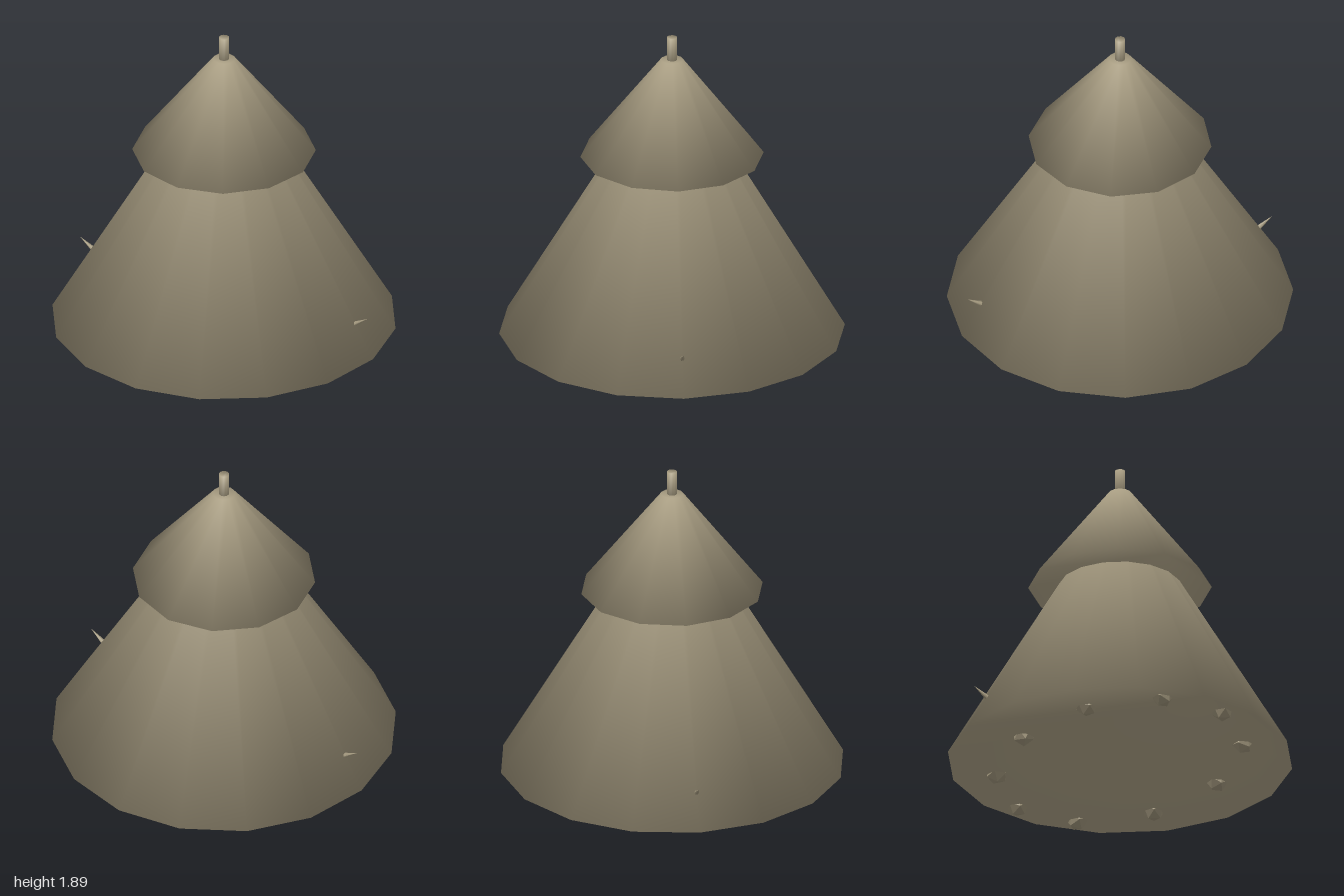
import * as THREE from 'three';

const khaki = new THREE.MeshStandardMaterial({ color: 0xa89d82 });
khaki.name = 'khaki';

// Closed frustum whose normals are blended across the rims (soft shaded edges).
function softFrustum(rBottom, rTop, yBottom, yTop, sides) {
  const slope = new THREE.Vector2(yTop - yBottom, rBottom - rTop).normalize();
  const pos = [], nor = [], idx = [];
  for (const [r, y, cap] of [[rBottom, yBottom, -1], [rTop, yTop, 1]]) {
    const n = new THREE.Vector2(slope.x, slope.y + cap).normalize();
    for (let i = 0; i < sides; i++) {
      const a = (i / sides) * Math.PI * 2, s = Math.sin(a), c = Math.cos(a);
      pos.push(r * s, y, r * c);
      nor.push(n.x * s, n.y, n.x * c);
    }
  }
  for (let i = 0; i < sides; i++) {
    const j = (i + 1) % sides;
    idx.push(i, j, sides + j, i, sides + j, sides + i);
    // caps as simple fans
    if (i > 0 && i < sides - 1) idx.push(0, j, i, sides, sides + i, sides + j);
  }
  const g = new THREE.BufferGeometry();
  g.setAttribute('position', new THREE.Float32BufferAttribute(pos, 3));
  g.setAttribute('normal', new THREE.Float32BufferAttribute(nor, 3));
  g.setIndex(idx);
  return g;
}

export function createModel() {
  const model = new THREE.Group();
  model.name = 'tieredCone';
  const add = (name, geometry) => {
    const mesh = new THREE.Mesh(geometry, khaki);
    mesh.name = name;
    model.add(mesh);
    return mesh;
  };

  // Stacked tiers and the stem on top
  add('lowerTier', softFrustum(1, 0.09, 0.055, 1.61, 16));
  add('upperTier', softFrustum(0.53, 0.065, 1.155, 1.755, 12));
  add('stem', softFrustum(0.03, 0.03, 1.7, 1.895, 10));

  // Thin thorns pointing out and up on either side
  for (const side of [1, -1]) {
    const thorn = add(side > 0 ? 'leftThorn' : 'rightThorn', new THREE.ConeGeometry(0.02, 0.14, 6));
    const dir = new THREE.Vector3(side * 0.84, 0.54, 0).normalize();
    thorn.quaternion.setFromUnitVectors(new THREE.Vector3(0, 1, 0), dir);
    thorn.position.set(side * 0.965, 0.31, 0).addScaledVector(dir, -0.07);
  }

  // Small angular feet on an oval under the base
  for (let i = 0; i < 10; i++) {
    const a = (i / 10) * Math.PI * 2;
    const foot = add('foot' + (i + 1), new THREE.IcosahedronGeometry(0.066, 0));
    foot.position.set(0.64 * Math.cos(a), 0.069, 0.9 * Math.sin(a));
    foot.rotation.set(i * 1.3, -a, i * 0.7);
  }
  return model;
}
